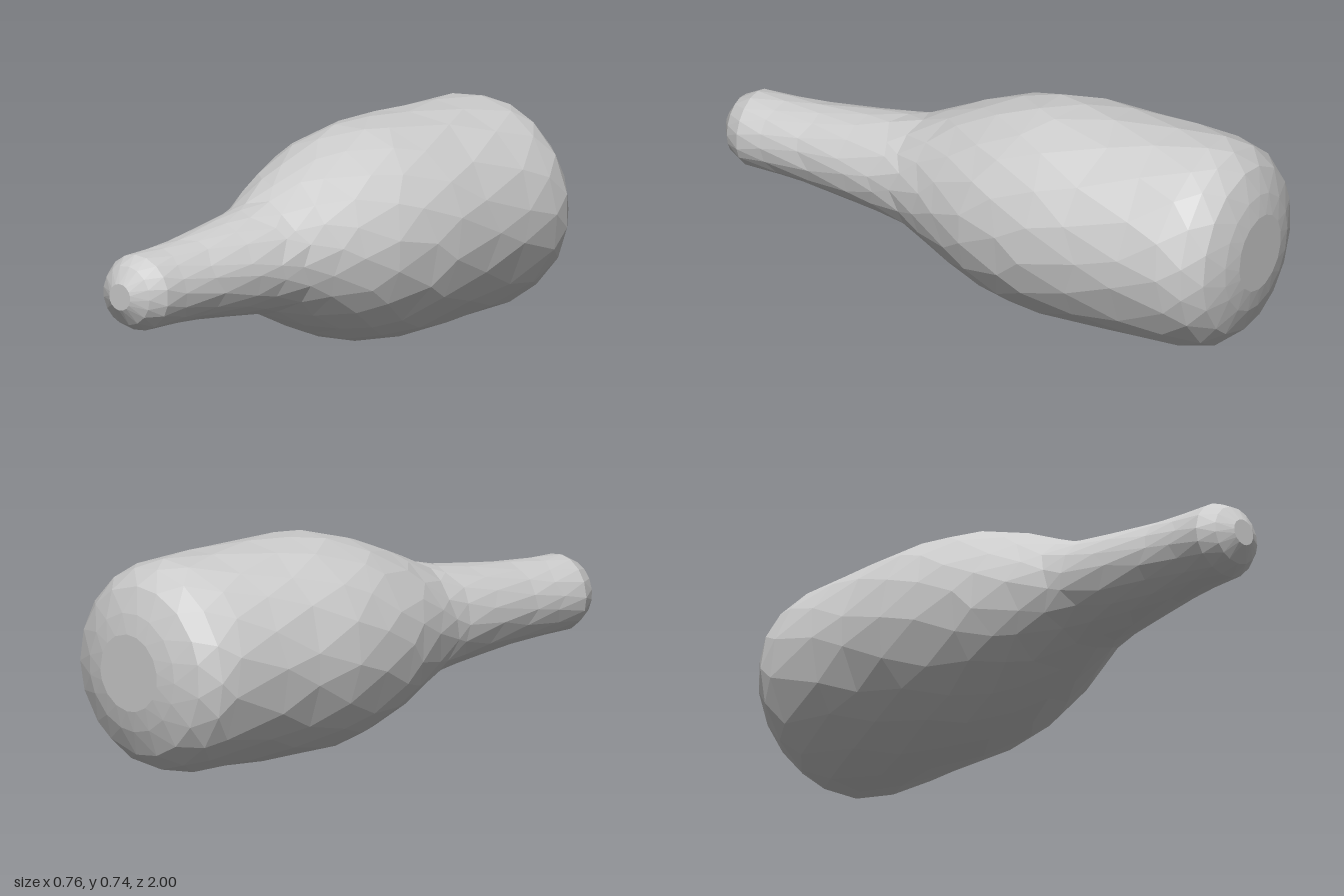
import * as THREE from 'three';

// Cross-sections from base to mouth: [z, half width, half height]
const PROFILE = [
  [-1, 0.14, 0.13], [-0.985, 0.21, 0.2], [-0.95, 0.295, 0.285], [-0.89, 0.345, 0.337],
  [-0.81, 0.365, 0.36], [-0.65, 0.375, 0.363], [-0.48, 0.378, 0.367], [-0.3, 0.38, 0.37],
  [-0.17, 0.362, 0.362], [-0.05, 0.338, 0.33], [0.06, 0.3, 0.29], [0.17, 0.252, 0.24],
  [0.28, 0.205, 0.188], [0.36, 0.19, 0.172], [0.5, 0.173, 0.156], [0.66, 0.148, 0.137],
  [0.8, 0.138, 0.13], [0.91, 0.134, 0.128], [0.965, 0.1, 0.1], [1, 0.045, 0.045],
];
const SIDES = 17;
const AXIS_Y = 0.372;

// Half width and half height at any z
function sectionAt(z) {
  let i = 0;
  while (i < PROFILE.length - 2 && PROFILE[i + 1][0] < z) i++;
  const [z0, w0, h0] = PROFILE[i], [z1, w1, h1] = PROFILE[i + 1];
  const t = THREE.MathUtils.clamp((z - z0) / (z1 - z0), 0, 1);
  return [THREE.MathUtils.lerp(w0, w1, t), THREE.MathUtils.lerp(h0, h1, t)];
}

function bottleGeometry() {
  let seed = 7;
  const wobble = () => {
    seed = (seed * 16807) % 2147483647;
    return seed / 2147483647 - 0.5;
  };
  const pos = [], index = [];
  const rings = PROFILE.length;

  // Staggered rings, shifted slightly along the surface for uneven facets
  PROFILE.forEach(([z], j) => {
    const loose = j > 3 && j < rings - 3;
    for (let i = 0; i < SIDES; i++) {
      const a = ((i + (j % 2) * 0.5 + wobble() * 0.3) / SIDES) * Math.PI * 2;
      const vz = loose ? z + wobble() * 0.06 : z;
      const [w, h] = sectionAt(vz);
      pos.push(Math.cos(a) * w, AXIS_Y + Math.sin(a) * h, vz);
    }
  });

  // Skin between rings
  for (let j = 0; j < rings - 1; j++) {
    for (let i = 0; i < SIDES; i++) {
      const n = (i + 1) % SIDES;
      const a = j * SIDES + i, b = j * SIDES + n, c = a + SIDES, d = b + SIDES;
      if (j % 2) index.push(a, b, d, a, d, c);
      else index.push(a, b, c, b, d, c);
    }
  }

  // Closed base and mouth
  const base = pos.length / 3, mouth = base + 1, last = (rings - 1) * SIDES;
  pos.push(0, AXIS_Y, -1, 0, AXIS_Y, 1);
  for (let i = 0; i < SIDES; i++) {
    const n = (i + 1) % SIDES;
    index.push(base, n, i, mouth, last + i, last + n);
  }

  const g = new THREE.BufferGeometry();
  g.setAttribute('position', new THREE.Float32BufferAttribute(pos, 3));
  g.setIndex(index);
  g.computeVertexNormals();
  return g;
}

export function createModel() {
  const group = new THREE.Group();
  group.name = 'lyingBottle';
  const material = new THREE.MeshStandardMaterial({ color: 0xcccccc, flatShading: true });
  const bottle = new THREE.Mesh(bottleGeometry(), material);
  bottle.name = 'bottle';
  group.add(bottle);
  return group;
}
